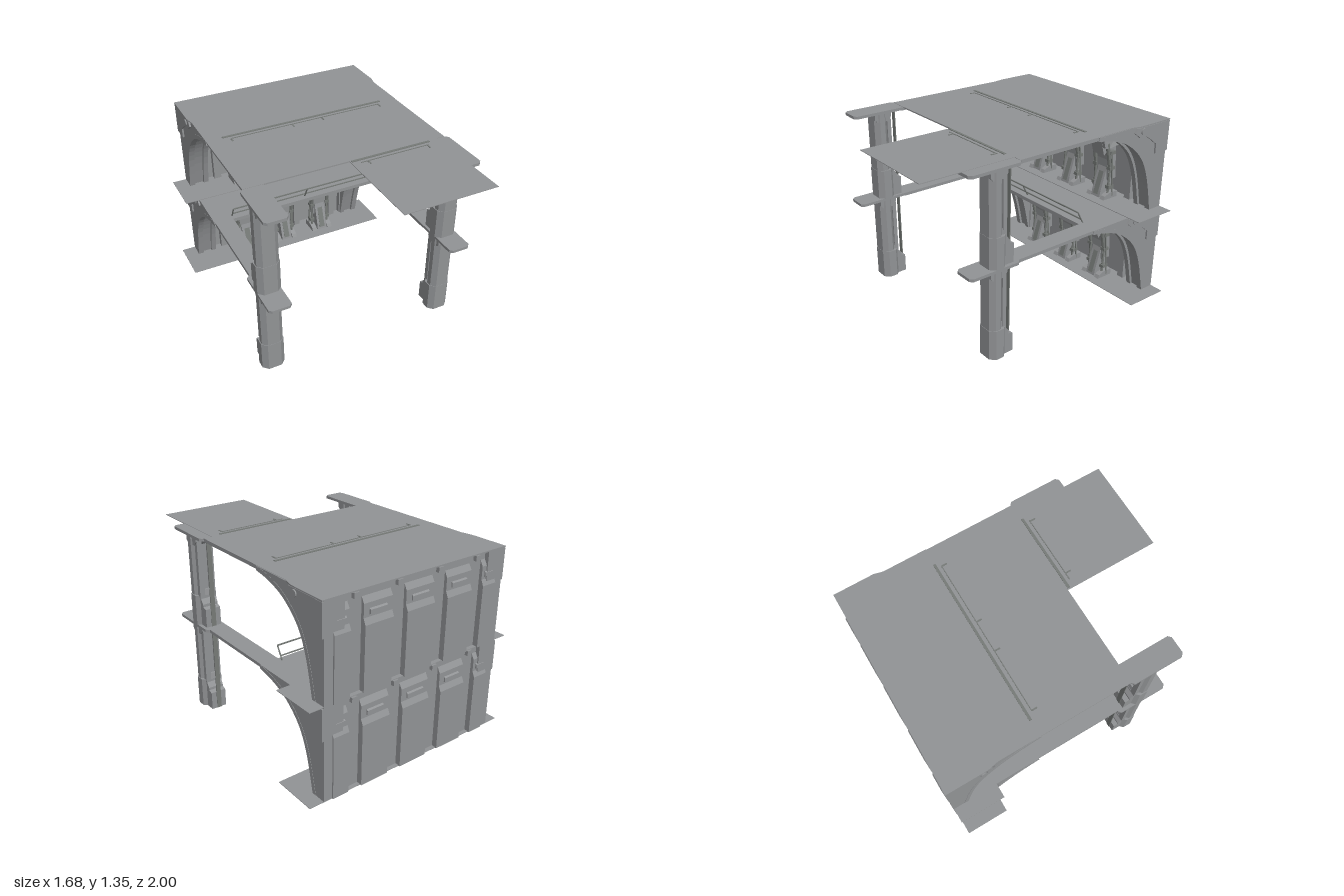
import * as THREE from 'three';

const H = 0.67; // storey height
const steel = new THREE.MeshStandardMaterial({ color: 0x919395, flatShading: true });
const dark = new THREE.MeshStandardMaterial({ color: 0x767a77, flatShading: true });

function add(parent, name, geo, mat = steel) {
  const m = new THREE.Mesh(geo, mat);
  m.name = name;
  parent.add(m);
  return m;
}

// Box given by its limits on each axis
function box(parent, name, x0, x1, y0, y1, z0, z1, mat) {
  const g = new THREE.BoxGeometry(x1 - x0, y1 - y0, z1 - z0);
  return add(parent, name, g.translate((x0 + x1) / 2, (y0 + y1) / 2, (z0 + z1) / 2), mat);
}

const outline = pts => pts.map(p => new THREE.Vector2(...p));

// Side profile of [z, y] points, extruded along x
function profile(pts, x0, x1) {
  return new THREE.ExtrudeGeometry(new THREE.Shape(outline(pts)), { depth: x1 - x0, bevelEnabled: false })
    .rotateY(-Math.PI / 2).translate(x1, 0, 0);
}

// Plan outline of [x, z] points, extruded upwards
function prism(pts, y0, y1) {
  const shape = new THREE.Shape(pts.map(([x, z]) => new THREE.Vector2(x, -z)));
  return new THREE.ExtrudeGeometry(shape, { depth: y1 - y0, bevelEnabled: false })
    .rotateX(-Math.PI / 2).translate(0, y0, 0);
}

const octagon = (x0, x1, z0, z1, c) => [
  [x0 + c, z0], [x1 - c, z0], [x1, z0 + c], [x1, z1 - c],
  [x1 - c, z1], [x0 + c, z1], [x0, z1 - c], [x0, z0 + c]];

// Round bar between two [z, y] points at a given x
function rod(parent, name, x, a, b, r) {
  const dz = b[0] - a[0], dy = b[1] - a[1];
  const g = new THREE.CylinderGeometry(r, r, Math.hypot(dz, dy), 8);
  g.rotateX(Math.atan2(dz, dy)).translate(x, (a[1] + b[1]) / 2, (a[0] + b[0]) / 2);
  return add(parent, name, g, dark);
}

// Inner line of the arch in (z, y)
const arch = new THREE.SplineCurve(outline([[-0.32, 0.643], [-0.46, 0.615], [-0.605, 0.553],
  [-0.74, 0.43], [-0.82, 0.26], [-0.88, 0]]));

// Arch points moved outwards by d, from t0 to t1
function archLine(d, t0 = 0, t1 = 1, n = 20) {
  return Array.from({ length: n + 1 }, (_, i) => {
    const t = t0 + (t1 - t0) * i / n, p = arch.getPoint(t), g = arch.getTangent(t);
    return [p.x + g.y * d, THREE.MathUtils.clamp(p.y - g.x * d, 0, H - 0.003)];
  });
}

const archStrip = (x0, x1) => profile([...archLine(0), ...archLine(0.03).reverse()], x0, x1);

function frontColumn() {
  const g = new THREE.Group();
  g.name = 'frontColumn';
  add(g, 'columnBase', prism(octagon(0.59, 0.755, 0.43, 0.56, 0.035), 0, 0.22));
  add(g, 'columnFoot', profile([[0.5, 0], [0.5, 0.26], [0.44, 0.26], [0.43, 0.2], [0.405, 0.165],
    [0.405, 0.145], [0.372, 0.135], [0.372, 0]], 0.615, 0.73));
  add(g, 'columnShaft', prism(octagon(0.596, 0.749, 0.455, 0.558, 0.032), 0.22, 0.65));
  add(g, 'columnCapital', profile([[0.56, 0.65], [0.43, 0.65], [0.43, 0.62], [0.455, 0.59], [0.54, 0.59], [0.56, 0.61]], 0.605, 0.74));
  for (const x of [0.612, 0.695]) box(g, 'columnSpine', x, x + 0.038, 0.2, 0.65, 0.43, 0.46);
  box(g, 'columnCable', 0.655, 0.69, 0, 0.645, 0.368, 0.374, dark);
  return g;
}

function sideFrame() {
  const g = new THREE.Group();
  g.name = 'sideFrame';
  add(g, 'archRib', profile([...archLine(0.02), [-0.99, 0], [-0.99, H], [-0.32, H]], 0.59, 0.735));
  add(g, 'archLip', archStrip(0.588, 0.625));
  add(g, 'archLip', archStrip(0.695, 0.737));
  add(g, 'cornerPlate', profile([[-0.67, 0.66], [-0.65, 0.63], [-0.70, 0.59], [-0.76, 0.59], [-0.82, 0.55],
    [-0.87, 0.51], [-0.87, 0.44], [-0.99, 0.44], [-0.99, 0.66]], 0.73, 0.748));
  add(g, 'cornerBolt', new THREE.CylinderGeometry(0.024, 0.024, 0.025, 16).rotateZ(Math.PI / 2).translate(0.744, 0.63, -0.73));
  box(g, 'sideBeam', 0.595, 0.73, 0.647, H, -0.4, 0.35);
  box(g, 'beamPad', 0.62, 0.7, 0.64, 0.65, -0.09, 0.09);
  add(g, 'beamEnd', prism([[0.595, 0.33], [0.735, 0.33], [0.755, 0.35], [0.755, 0.70], [0.735, 0.72], [0.615, 0.72], [0.595, 0.70]], 0.65, H));
  return g;
}

// Mechanical cradle standing in a wall bay
function cradle(x) {
  const g = new THREE.Group();
  g.name = 'cradle';
  g.position.x = x;
  const hood = profile([[-0.605, 0.555], [-0.61, 0.545], [-0.68, 0.52], [-0.70, 0.49], [-0.725, 0.41], [-0.76, 0.40],
    [-0.92, 0.42], [-0.92, 0.55]], -0.082, 0.082);
  // Hood narrows towards its top
  const p = hood.attributes.position;
  for (let i = 0; i < p.count; i++) if (p.getY(i) > 0.53) p.setX(i, p.getX(i) * 0.65);
  hood.computeVertexNormals();
  add(g, 'hood', hood);
  add(g, 'upperBody', profile([[-0.71, 0.45], [-0.742, 0.345], [-0.775, 0.37], [-0.79, 0.30], [-0.80, 0.14],
    [-0.88, 0.14], [-0.86, 0.45]], -0.055, 0.055));
  add(g, 'lowerSleeve', profile([[-0.81, 0.31], [-0.785, 0.2], [-0.745, 0.06], [-0.735, 0.01], [-0.88, 0.01], [-0.85, 0.31]], -0.042, 0.042));
  add(g, 'sleeveFront', profile([[-0.785, 0.2], [-0.733, 0.03], [-0.76, 0.03], [-0.8, 0.2]], -0.022, 0.022), dark);
  for (const s of [-1, 1]) {
    const cx = s * 0.07;
    rod(g, 'pistonSleeve', cx, [-0.755, 0.44], [-0.80, 0.24], 0.015);
    rod(g, 'pistonRod', cx, [-0.80, 0.26], [-0.79, 0.03], 0.009);
    rod(g, 'guideRod', s * 0.087, [-0.79, 0.38], [-0.82, 0.02], 0.006);
    for (const y of [0.08, 0.23, 0.35]) box(g, 'pistonCollar', cx - 0.019, cx + 0.019, y, y + 0.025, -0.83, -0.78, dark);
    add(g, 'foot', profile([[-0.73, 0], [-0.745, 0.03], [-0.79, 0.05], [-0.87, 0.05], [-0.87, 0]], cx - 0.02, cx + 0.02));
  }
  return g;
}

function backWall() {
  const g = new THREE.Group();
  g.name = 'backWall';
  // Bay backs step forward above a sloped band
  add(g, 'wallCore', profile([[-0.935, 0], [-0.935, 0.43], [-0.915, 0.5], [-0.915, 0.62], [-0.96, 0.62], [-0.96, 0]], -0.6, 0.6));
  // Flat wall frame with chamfered bay openings
  const frame = new THREE.Shape(outline([[-0.6, 0], [0.6, 0], [0.6, 0.63], [-0.6, 0.63]]));
  for (const [x, w, c] of [[-0.555, 0.025, 0.015], [-0.333, 0.142, 0.04], [0, 0.142, 0.04], [0.333, 0.142, 0.04], [0.555, 0.025, 0.015]])
    frame.holes.push(new THREE.Path(outline([[x - w, 0.004], [x - w, 0.61 - c], [x - w + c, 0.61],
      [x + w - c, 0.61], [x + w, 0.61 - c], [x + w, 0.004]])));
  add(g, 'bayFrame', new THREE.ExtrudeGeometry(frame, { depth: 0.04, bevelEnabled: false }).translate(0, 0, -0.935));
  // Ceiling over the bays, thickening from its front edge
  add(g, 'ceiling', profile([...archLine(0, 0, 0.2, 6), [-0.96, 0.615], [-0.96, H], [-0.32, H]], -0.6, 0.6));
  for (const x of [-0.5, -0.167, 0.167, 0.5]) {
    add(g, 'ribBracket', profile([[-0.46, 0.64], [-0.475, 0.6], [-0.53, 0.585], [-0.58, 0.6], [-0.58, 0.64]], x - 0.022, x + 0.022));
    add(g, 'ceilingRib', profile([[-0.55, 0.62], [-0.55, 0.605], [-0.9, 0.6], [-0.9, 0.62]], x - 0.025, x + 0.025));
    box(g, 'backKnob', x - 0.02, x + 0.02, 0.62, 0.655, -0.985, -0.95);
  }
  // Raised outer panels with a handle ledge
  for (const [x, w] of [[-0.61, 0.06], [-0.335, 0.11], [0, 0.115], [0.335, 0.11], [0.61, 0.06]]) {
    add(g, 'backPanel', profile([[-0.95, 0], [-1, 0], [-1, 0.44], [-0.982, 0.48], [-0.982, 0.57], [-0.96, 0.61], [-0.95, 0.61]], x - w, x + w));
    add(g, 'panelHandle', profile([[-0.975, 0.54], [-0.992, 0.525], [-0.992, 0.5], [-0.975, 0.49]], x - w * 0.6, x + w * 0.6));
  }
  for (const s of [-1, 1]) box(g, 'wallEnd', s * 0.66 - 0.07, s * 0.66 + 0.07, 0, H, -0.96, -0.9);
  for (const x of [-0.335, 0, 0.335]) g.add(cradle(x));
  return g;
}

function storey() {
  const g = new THREE.Group();
  g.name = 'storey';
  for (const s of [1, -1]) {
    const side = new THREE.Group();
    side.name = s > 0 ? 'leftSide' : 'rightSide';
    side.add(frontColumn(), sideFrame());
    side.scale.x = s;
    g.add(side);
  }
  g.add(backWall());
  box(g, 'floorPlate', -0.84, 0.84, 0, 0.004, -0.99, -0.66);
  return g;
}

// Leaning rail at the edge of the middle deck
function railing() {
  const g = new THREE.Group();
  g.name = 'railing';
  for (const x of [-0.59, 0, 0.59]) rod(g, 'railPost', x, [-0.36, H], [-0.31, 0.76], 0.005);
  box(g, 'topRail', -0.59, 0.59, 0.755, 0.763, -0.315, -0.307, dark);
  box(g, 'lowerRail', -0.59, 0.59, 0.695, 0.702, -0.349, -0.342, dark);
  return g;
}

// Shallow trim with a dark edge and small stays, lying on the roof
function roofTrim(x0, x1, z, stays) {
  const g = new THREE.Group();
  g.name = 'roofTrim';
  box(g, 'trimEdge', x0, x1, 1.339, 1.346, z, z + 0.018, dark);
  box(g, 'trimLine', x0 + 0.05, x1 - 0.03, 1.339, 1.345, z + 0.042, z + 0.048, dark);
  for (const x of stays) box(g, 'trimStay', x - 0.005, x + 0.005, 1.339, 1.345, z + 0.045, z + 0.085, dark);
  return g;
}

export function createModel() {
  const model = new THREE.Group();
  model.name = 'twoStoreyBay';
  for (const y of [0, H]) {
    const s = storey();
    s.position.y = y;
    model.add(s);
  }
  model.add(railing());
  add(model, 'roof', prism([[-0.75, -0.99], [0.75, -0.99], [0.75, -0.7], [0.73, -0.62], [0.73, 0.33], [-0.735, 0.33], [-0.735, -0.62], [-0.75, -0.7]], 1.333, 1.342));
  box(model, 'roofExtension', 0, 0.67, 1.338, 1.342, 0.33, 1);
  model.add(roofTrim(-0.62, 0.605, -0.335, [-0.57, -0.12, 0.11, 0.57]), roofTrim(0.01, 0.6, 0.335, [0.11, 0.56]));
  return model;
}
